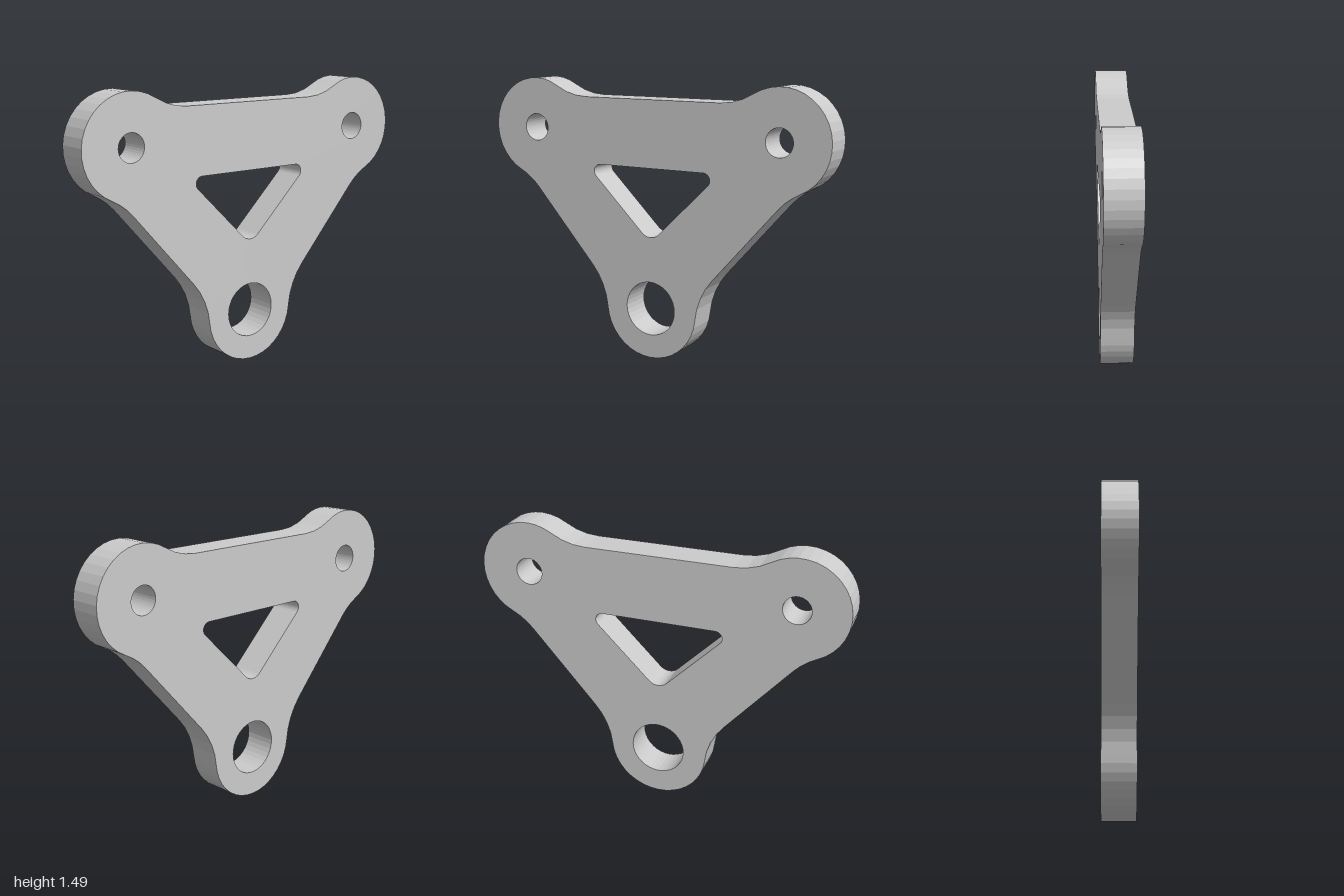
import * as THREE from 'three';

const THICKNESS = 0.18;
const LOBE = 0.272; // radius of the three rounded ends
const bottom = new THREE.Vector2(0, 0.273);
const upper = new THREE.Vector2(0.727, 1.22);

// Points along an arc, about one per 10 degrees
function arc(c, r, a0, a1) {
  const n = Math.max(3, Math.round(Math.abs(a1 - a0) / (Math.PI / 18)));
  return Array.from({ length: n + 1 }, (_, i) => {
    const a = a0 + ((a1 - a0) * i) / n;
    return new THREE.Vector2(c.x + r * Math.cos(a), c.y + r * Math.sin(a));
  });
}

// Centre of a concave fillet of radius r between a lobe and a straight edge.
// normal points out of the edge, d is the edge's distance from the lobe centre,
// side (+1 / -1) picks the end along the edge direction.
function filletCentre(lobe, normal, d, r, side) {
  const along = new THREE.Vector2(-normal.y, normal.x);
  const s = side * Math.sqrt((LOBE + r) ** 2 - (d + r) ** 2);
  return lobe.clone().addScaledVector(normal, d + r).addScaledVector(along, s);
}

const angleTo = (a, b) => Math.atan2(b.y - a.y, b.x - a.x);

// Closes a right-hand half profile (bottom to top) with its mirror image
function mirrored(half) {
  const left = half.filter((p) => p.x > 1e-4).reverse().map((p) => new THREE.Vector2(-p.x, p.y));
  return [...half, ...left];
}

function plateOutline() {
  const edge = new THREE.Vector2(0.751, -0.66); // outward normal of the slanted side
  const top = new THREE.Vector2(0, 1);
  const inward = Math.atan2(-edge.y, -edge.x);
  const f1 = filletCentre(bottom, edge, 0.141, 0.4, 1);
  const f2 = filletCentre(upper, edge, 0.22, 0.36, -1);
  const f3 = filletCentre(upper, top, 0.18, 0.36, 1);
  const a = angleTo(bottom, f1), b = angleTo(upper, f2), c = angleTo(upper, f3);
  return mirrored([
    ...arc(bottom, LOBE, -Math.PI / 2, a),
    ...arc(f1, 0.4, a + Math.PI, inward).slice(1),
    ...arc(f2, 0.36, inward, b + Math.PI),
    ...arc(upper, LOBE, b, c).slice(1),
    ...arc(f3, 0.36, c - Math.PI, -Math.PI / 2).slice(1),
  ]);
}

// Triangular window with rounded corners
function windowOutline() {
  return mirrored([
    ...arc(new THREE.Vector2(0, 0.74), 0.071, -Math.PI / 2, -Math.PI / 4),
    ...arc(new THREE.Vector2(0.312, 1.002), 0.038, -Math.PI / 4, Math.PI / 2),
  ]);
}

const circle = (x, y, r) => arc(new THREE.Vector2(x, y), r, 0, Math.PI * 2).slice(0, -1);

export function createModel() {
  const shape = new THREE.Shape(plateOutline());
  const holes = [
    windowOutline(),
    circle(0, 0.277, 0.147), // large pivot hole
    circle(upper.x, upper.y, 0.074), // small bolt holes
    circle(-upper.x, upper.y, 0.074),
  ];
  shape.holes = holes.map((points) => new THREE.Path(points));

  const geometry = new THREE.ExtrudeGeometry(shape, { depth: THICKNESS, bevelEnabled: false });
  geometry.translate(0, 0, -THICKNESS / 2);

  const plate = new THREE.Mesh(geometry, new THREE.MeshStandardMaterial({ color: 0xcccccc, flatShading: true }));
  plate.name = 'bracketPlate';

  const group = new THREE.Group();
  group.name = 'triangularBracket';
  group.add(plate);
  return group;
}
